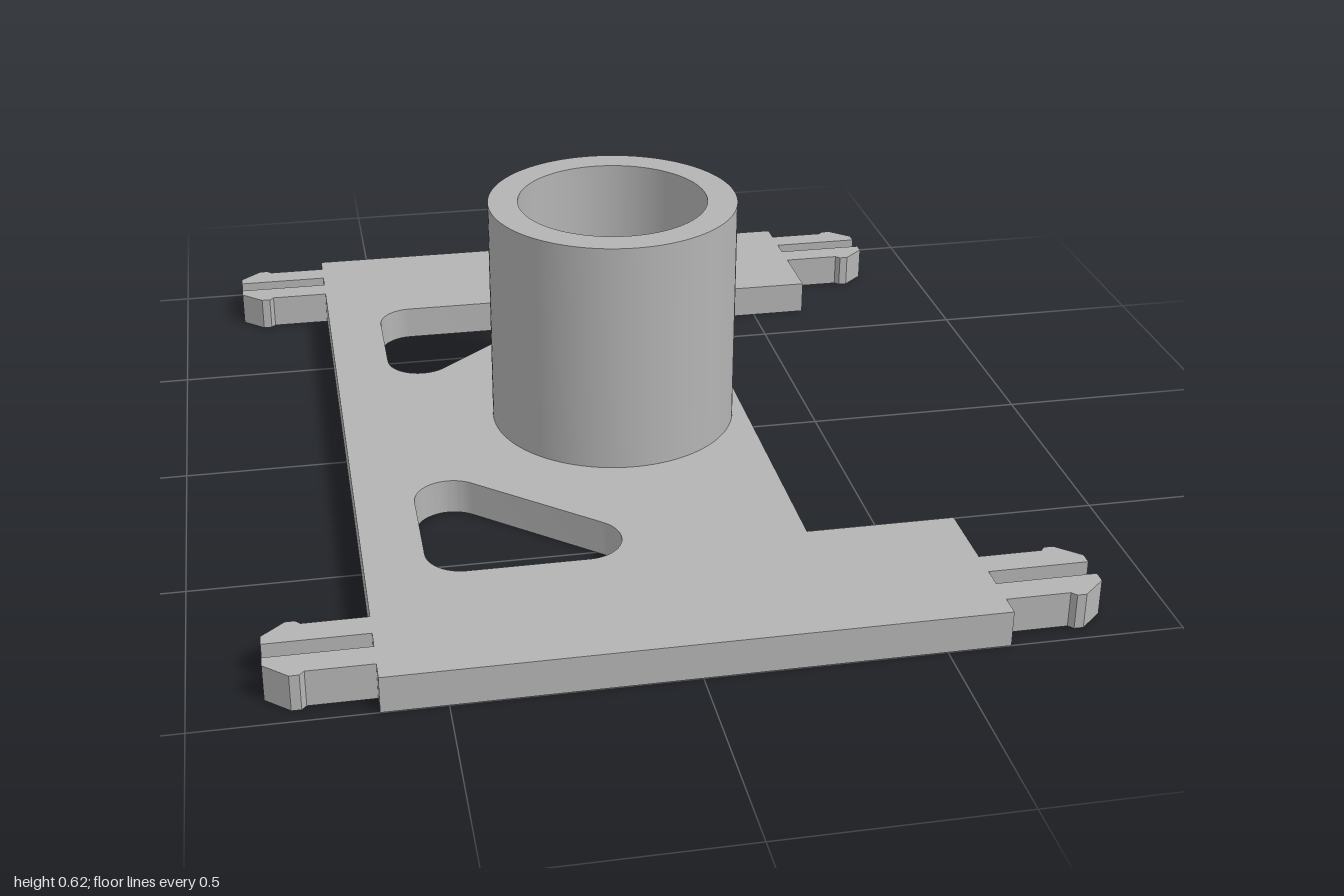
import * as THREE from 'three';
import { toCreasedNormals } from 'three/addons/utils/BufferGeometryUtils.js';

const PLATE = 0.08, TOP = 0.615;
const V = (x, y) => new THREE.Vector2(x, y);

// Extrude a plan outline upwards (plan y becomes -z)
function extrudeUp(shape, from, to) {
  const geo = new THREE.ExtrudeGeometry(shape, { depth: to - from, bevelEnabled: false, curveSegments: 64 });
  geo.rotateX(-Math.PI / 2);
  geo.translate(0, from, 0);
  return toCreasedNormals(geo, 0.5);
}

function circlePath(r) {
  return new THREE.Path().absarc(0, 0, r, 0, Math.PI * 2, false);
}

// Outline of a split snap clip on the right edge, running towards +y
function clip(cy) {
  const half = [[0.633, -0.083], [0.77, -0.083], [0.78, -0.094], [0.8, -0.094],
    [0.85, -0.05], [0.85, -0.023], [0.633, -0.023]];
  const mirrored = half.map(([x, y]) => [x, -y]).reverse();
  return [...half, ...mirrored].map(([x, y]) => V(x, cy + y));
}

// Rounded triangular cut-out; side is 1 or -1
function triangleHole(side) {
  const r = 0.08, slant = Math.atan2(-0.258, 0.22);
  const path = new THREE.Path();
  path.absarc(-0.165, 0.572, r, slant, Math.PI / 2, false);
  path.absarc(-0.423, 0.572, r, Math.PI / 2, Math.PI, false);
  path.absarc(-0.423, 0.352, r, Math.PI, Math.PI * 2 + slant, false);
  return new THREE.Path(path.getPoints(12).map(p => V(p.x, p.y * side)));
}

export function createModel() {
  const group = new THREE.Group();
  const grey = new THREE.MeshStandardMaterial({ color: 0xb4b4b4 });
  grey.name = 'grey plastic';

  // Base plate with side notch, four clips and cut-outs
  const rightClips = [...clip(-0.87), ...clip(0.87)];
  const leftClips = rightClips.map(p => V(-p.x, p.y)).reverse();
  const plate = new THREE.Shape([
    V(-0.633, -1), V(0.633, -1),
    ...rightClips.slice(0, 14),
    V(0.633, -0.625), V(0.307, -0.625), V(0.307, 0.625), V(0.633, 0.625),
    ...rightClips.slice(14),
    V(0.633, 1), V(-0.633, 1),
    ...leftClips,
  ]);
  plate.holes.push(circlePath(0.215), triangleHole(1), triangleHole(-1));
  const base = new THREE.Mesh(extrudeUp(plate, 0, PLATE), grey);
  base.name = 'basePlate';

  // Upright hollow tube
  const ring = new THREE.Shape().absarc(0, 0, 0.283, 0, Math.PI * 2, false);
  ring.holes.push(circlePath(0.215));
  const tube = new THREE.Mesh(extrudeUp(ring, PLATE, TOP), grey);
  tube.name = 'tube';

  group.add(base, tube);
  return group;
}
